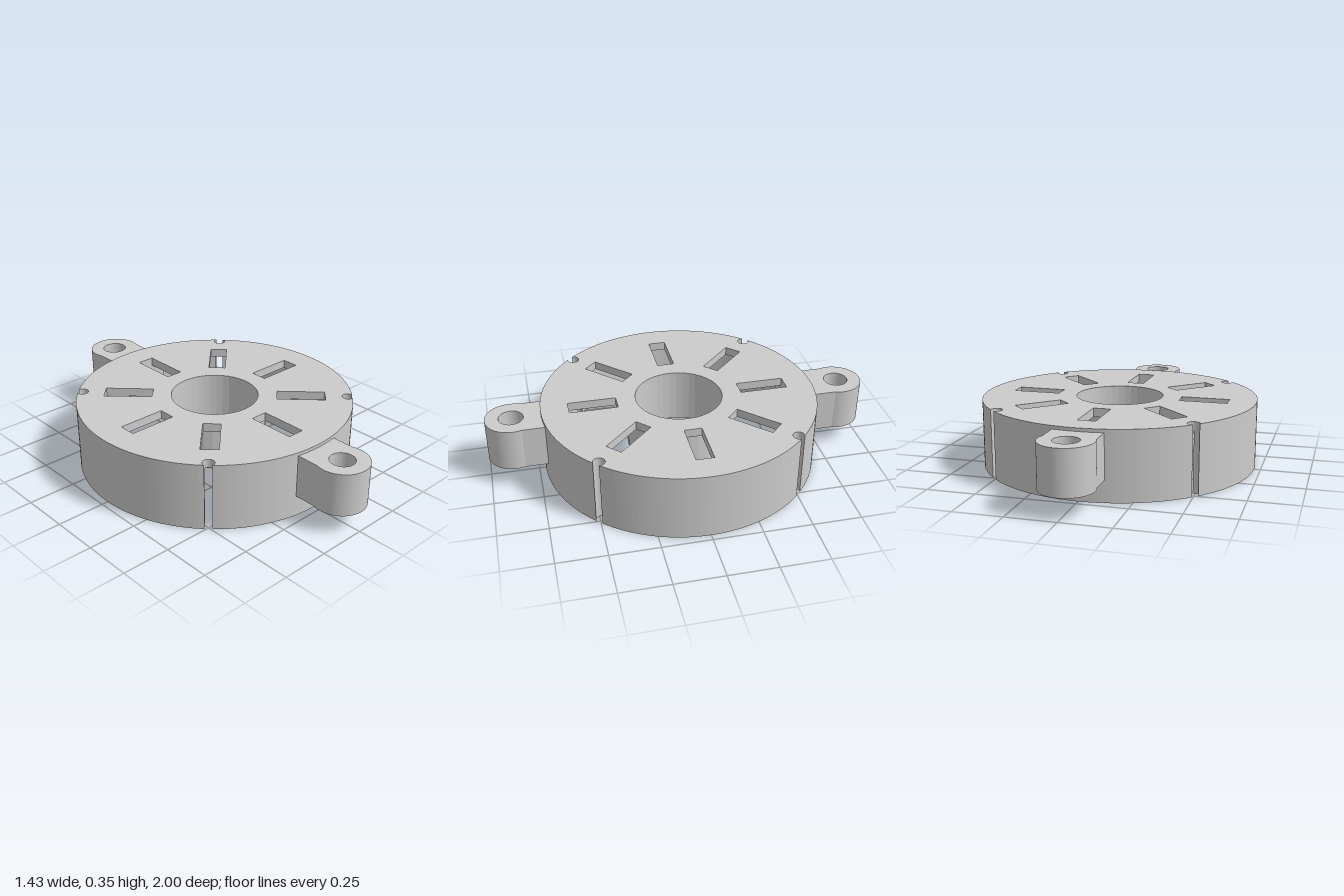
import * as THREE from 'three';

const R = 0.717, WALL = 0.67, BORE = 0.227;   // outer, inner wall and bore radii
const NOTCH_C = 0.693, NOTCH_R = 0.03;        // rim notch centre distance and radius
const HEIGHT = 0.35, PLATE_Y = 0.305, HUB_Y = 0.06;
const QUARTER = Math.PI / 2;

// Angle at the disc centre where a notch meets a circle of radius r
const discAngle = (r) => Math.acos((r * r + NOTCH_C ** 2 - NOTCH_R ** 2) / (2 * r * NOTCH_C));
// Same meeting point, as an angle around the notch centre
const notchAngle = (r) => Math.atan2(r * Math.sin(discAngle(r)), r * Math.cos(discAngle(r)) - NOTCH_C);

function notchArc(shape, a, from, to) {
  shape.absarc(NOTCH_C * Math.cos(a), NOTCH_C * Math.sin(a), NOTCH_R, a + from, a + to, true);
}

function circleHole(x, y, r) {
  return new THREE.Path().absarc(x, y, r, 0, Math.PI * 2, true);
}

// Extrude a plan shape upward between two heights
function slab(name, shape, y0, y1) {
  const geo = new THREE.ExtrudeGeometry(shape, { depth: y1 - y0, bevelEnabled: false, curveSegments: 20 });
  geo.rotateX(-QUARTER).translate(0, y0, 0);
  const mesh = new THREE.Mesh(geo, new THREE.MeshStandardMaterial({ color: 0xcccccc }));
  mesh.name = name;
  return mesh;
}

// Disc with four rim notches, a bore and eight radial slots
function plateShape() {
  const s = new THREE.Shape();
  const d = discAngle(R), n = notchAngle(R);
  for (let i = 0; i < 4; i++) {
    const a = QUARTER * (i + 0.5), b = a + QUARTER;
    s.absarc(0, 0, R, a + d, b - d, false);
    notchArc(s, b, -n, n);
  }
  s.holes.push(circleHole(0, 0, BORE));
  for (let i = 0; i < 8; i++) {
    const corners = [[0.325, -0.045], [0.325, 0.045], [0.575, 0.045], [0.575, -0.045]];
    const pts = corners.map(([x, y]) => new THREE.Vector2(x, y).rotateAround(new THREE.Vector2(), i * Math.PI / 4));
    s.holes.push(new THREE.Path(pts));
  }
  return s;
}

// Quarter of the skirt wall, between two notches
function wallShape(a) {
  const b = a + QUARTER, s = new THREE.Shape();
  const dO = discAngle(R), dI = discAngle(WALL), nO = notchAngle(R), nI = notchAngle(WALL);
  s.absarc(0, 0, R, a + dO, b - dO, false);
  notchArc(s, b, -nO, -nI);
  s.absarc(0, 0, WALL, b - dI, a + dI, true);
  notchArc(s, a, nI, nO);
  return s;
}

// Mounting ear: straight neck reaching through the wall, round drilled end
function earShape() {
  const half = 0.125, r = 0.133, c = 0.867;
  const start = -Math.acos(half / r);
  const s = new THREE.Shape();
  s.moveTo(-half, 0.575);
  s.lineTo(half, 0.575);
  s.absarc(0, c, r, start, Math.PI - start, false);
  s.holes.push(circleHole(0, c, 0.063));
  return s;
}

export function createModel() {
  const model = new THREE.Group();
  model.name = 'slottedCap';

  model.add(slab('topPlate', plateShape(), PLATE_Y, HEIGHT));

  const skirt = new THREE.Group();
  skirt.name = 'skirt';
  for (let i = 0; i < 4; i++) {
    skirt.add(slab('skirtQuarter' + (i + 1), wallShape(QUARTER * (i + 0.5)), 0, PLATE_Y));
  }
  model.add(skirt);

  // Hub tube hanging under the plate
  const hub = new THREE.Shape().absarc(0, 0, 0.27, 0, Math.PI * 2, false);
  hub.holes.push(circleHole(0, 0, BORE));
  model.add(slab('hubTube', hub, HUB_Y, PLATE_Y));

  // Ears at back and front
  ['backEar', 'frontEar'].forEach((name, i) => {
    const ear = slab(name, earShape(), 0.11, 0.333);
    ear.rotation.y = i * Math.PI;
    model.add(ear);
  });

  return model;
}
